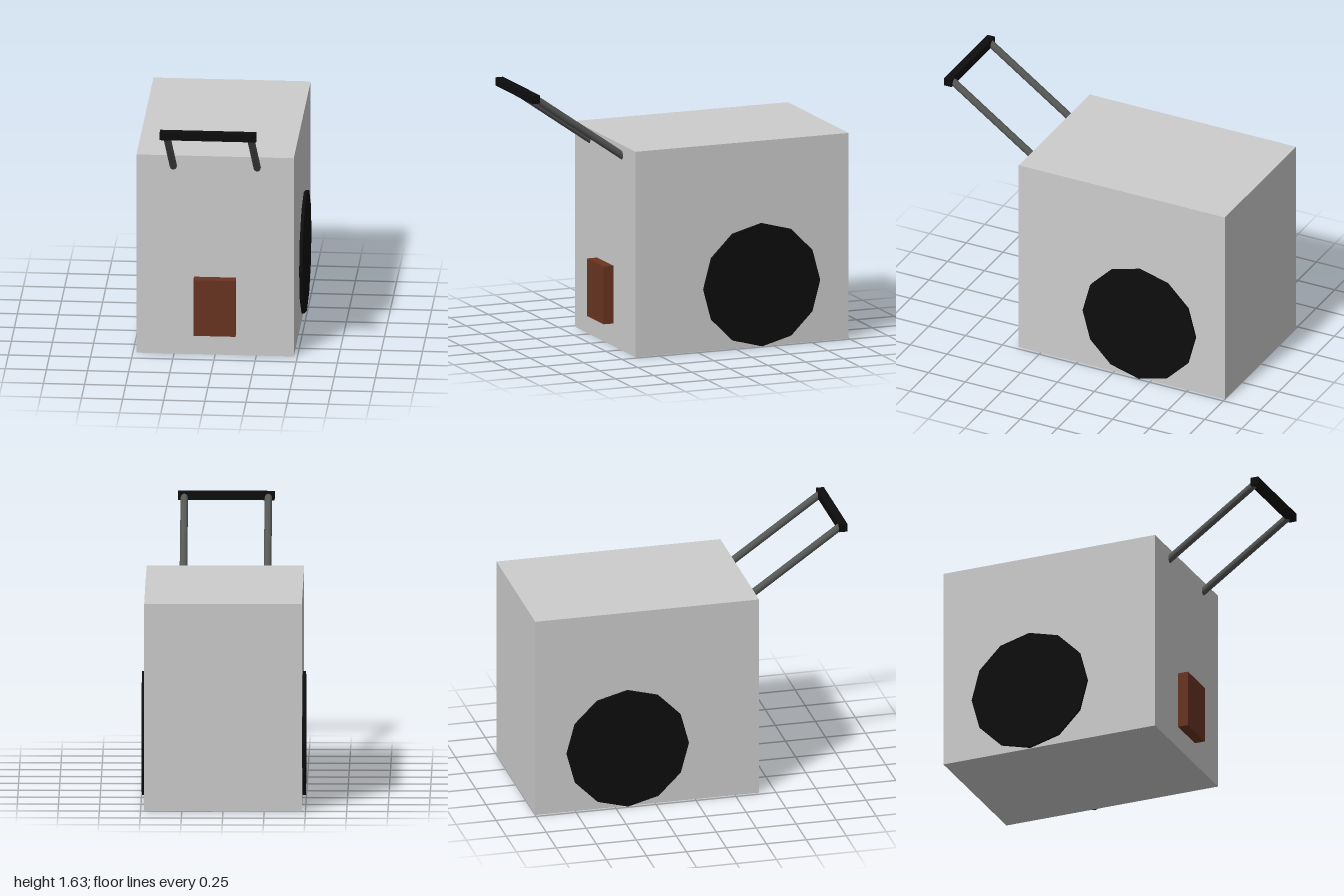
import * as THREE from 'three';

const material = (name, color, flatShading = false) => {
  const m = new THREE.MeshStandardMaterial({ color, flatShading });
  m.name = name;
  return m;
};

export function createModel() {
  const group = new THREE.Group();
  const grey = material('light grey', 0xcccccc);
  const black = material('black', 0x0d0d0d, true);
  const steel = material('dark steel', 0x555755, true);
  const brown = material('brown', 0x683421);

  const add = (name, geometry, mat, x, y, z) => {
    const mesh = new THREE.Mesh(geometry, mat);
    mesh.name = name;
    mesh.position.set(x, y, z);
    group.add(mesh);
    return mesh;
  };

  // Main box and the block on its front
  add('body', new THREE.BoxGeometry(0.956, 1.275, 1.4), grey, 0, 0.6375, -0.3);
  add('frontBlock', new THREE.BoxGeometry(0.256, 0.358, 0.085), brown, 0, 0.319, 0.4225);

  // Sloping handle rods run from inside the body to the grip
  const start = new THREE.Vector3(0, 1.183, 0.36);
  const end = new THREE.Vector3(0, 1.608, 0.968);
  const along = end.clone().sub(start);
  const middle = start.clone().add(end).multiplyScalar(0.5);
  const up = new THREE.Vector3(0, 1, 0);
  const rodGeometry = new THREE.CylinderGeometry(0.023, 0.023, along.length(), 12);

  // Twelve-sided wheels, sunk slightly into the body
  const wheelGeometry = new THREE.CylinderGeometry(0.381, 0.381, 0.04, 12).rotateZ(Math.PI / 2);

  for (const [side, s] of [['left', 1], ['right', -1]]) {
    add(side + 'Wheel', wheelGeometry, black, s * 0.477, 0.384, -0.424);
    const rod = add(side + 'HandleRod', rodGeometry, steel, s * 0.255, middle.y, middle.z);
    rod.quaternion.setFromUnitVectors(up, along.clone().normalize());
  }

  // Grip bar
  add('handleGrip', new THREE.BoxGeometry(0.586, 0.05, 0.05), black, 0, 1.608, 0.975);

  return group;
}
